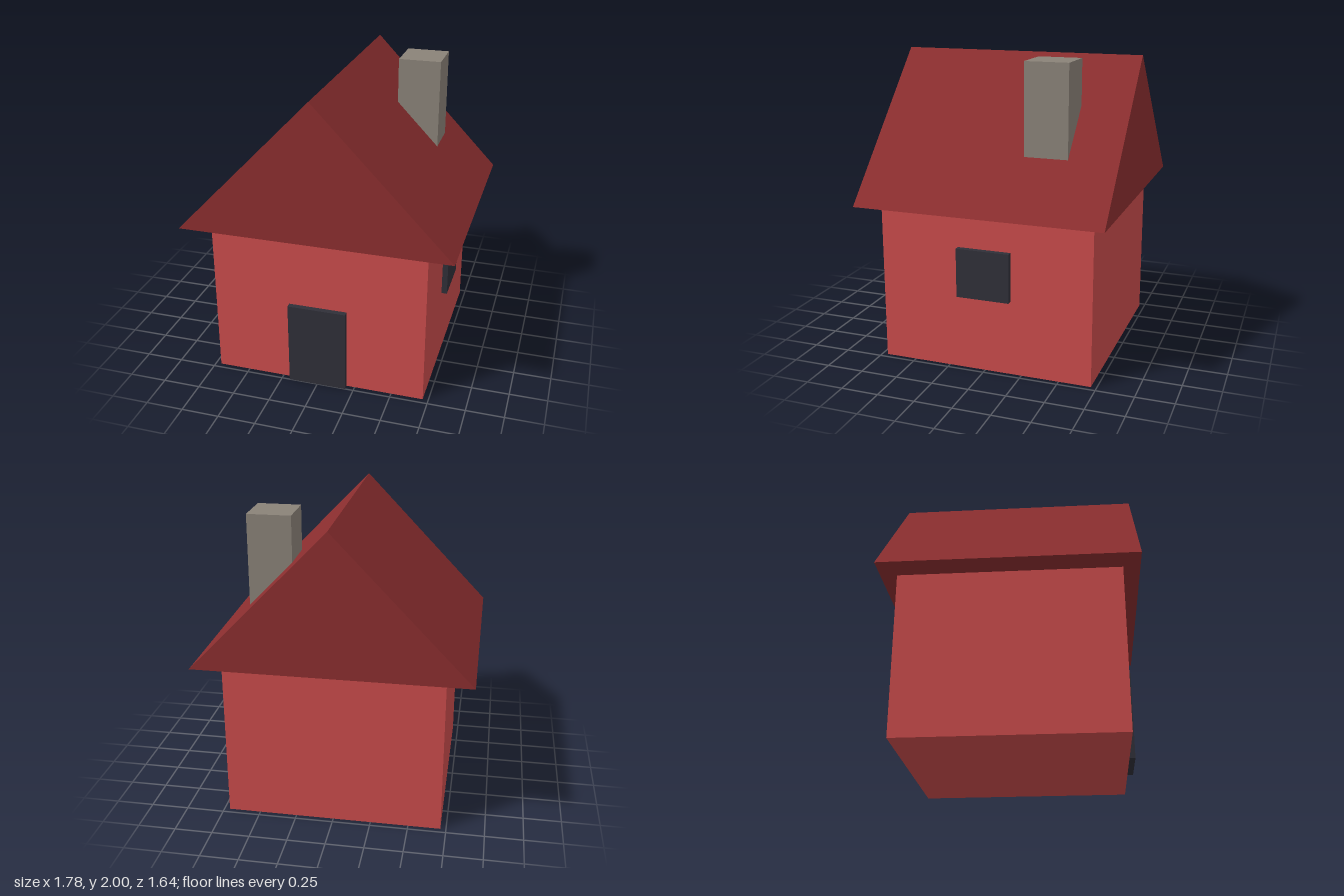
import * as THREE from 'three';

function material(name, color) {
  const m = new THREE.MeshStandardMaterial({ color });
  m.name = name;
  return m;
}

export function createModel() {
  const house = new THREE.Group();
  house.name = 'house';

  const wallRed = material('wallRed', 0xc94b4b);
  const roofRed = material('roofRed', 0x8b2e2f);
  const stoneGrey = material('stoneGrey', 0x8a8278);
  const darkSlate = material('darkSlate', 0x2f2f38);

  const add = (name, geometry, mat) => {
    const mesh = new THREE.Mesh(geometry, mat);
    mesh.name = name;
    house.add(mesh);
  };

  // Box given by its lower and upper corners
  const box = (name, mat, [x0, y0, z0], [x1, y1, z1]) => {
    const g = new THREE.BoxGeometry(x1 - x0, y1 - y0, z1 - z0);
    g.translate((x0 + x1) / 2, (y0 + y1) / 2, (z0 + z1) / 2);
    add(name, g, mat);
  };

  // Walls
  box('walls', wallRed, [-0.713, 0, -0.713], [0.713, 1.075, 0.713]);

  // Gabled roof: a triangle extruded from back to front
  const gable = new THREE.Shape([
    new THREE.Vector2(-0.89, 1.075),
    new THREE.Vector2(0.89, 1.075),
    new THREE.Vector2(0, 2),
  ]);
  const roof = new THREE.ExtrudeGeometry(gable, { depth: 1.64, bevelEnabled: false });
  roof.translate(0, 0, -0.82);
  add('roof', roof, roofRed);

  // Chimney, sunk into the right-hand slope
  box('chimney', stoneGrey, [0.285, 1.25, -0.5], [0.568, 2, -0.215]);

  // Door on the front, window on the +x side
  box('door', darkSlate, [-0.195, 0, 0.7], [0.195, 0.572, 0.75]);
  box('window', darkSlate, [0.7, 0.5, -0.178], [0.75, 0.825, 0.178]);

  return house;
}
